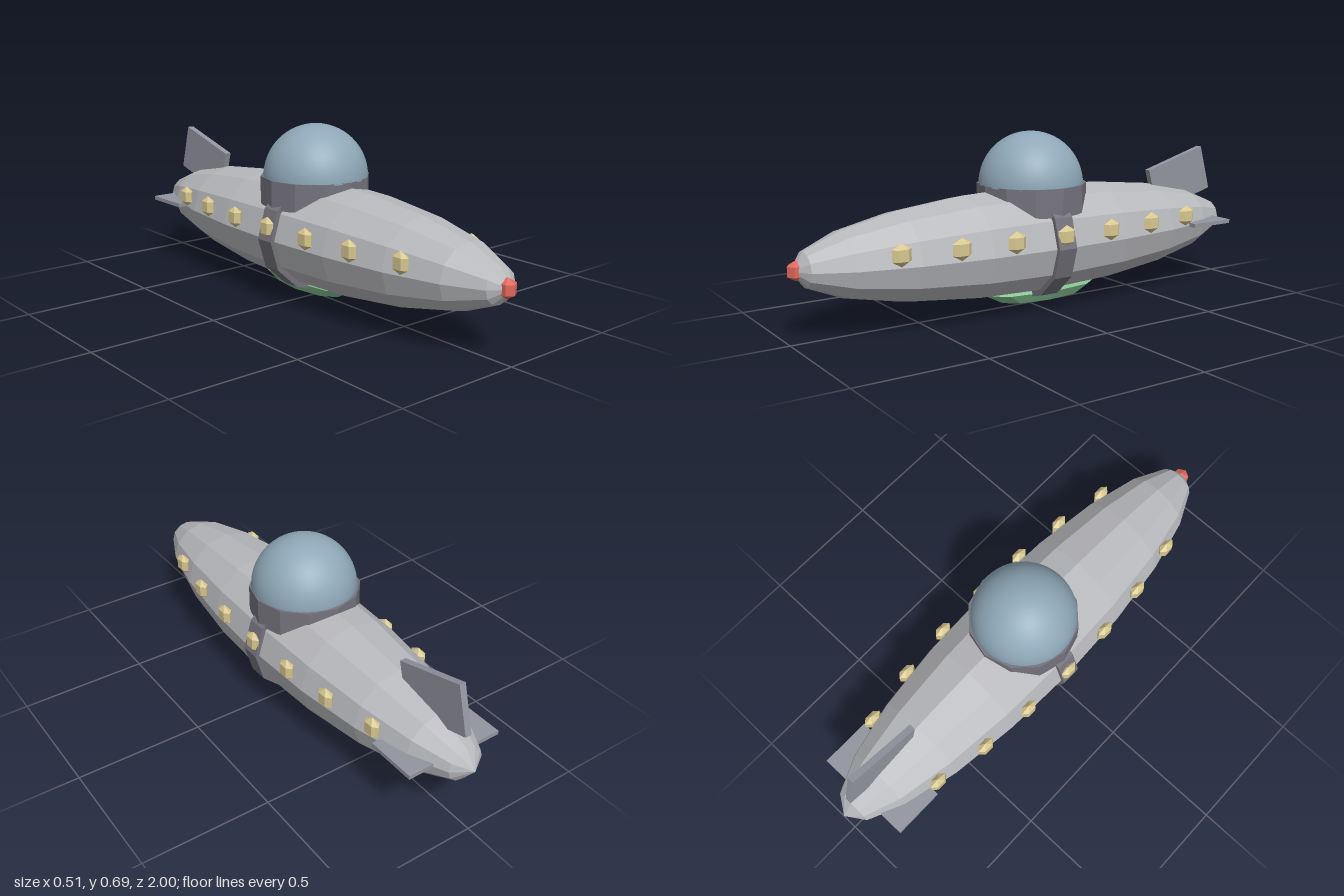
import * as THREE from 'three';

const paint = (color, flatShading = true) =>
  new THREE.MeshStandardMaterial({ color, flatShading });

export function createModel() {
  const model = new THREE.Group();
  const hullMat = paint(0xb8b9bd);
  const trimMat = paint(0x75737d);
  const finMat = paint(0x93959f);
  const lampMat = paint(0xd8c890);

  const add = (name, geometry, material, x, y, z) => {
    const mesh = new THREE.Mesh(geometry, material);
    mesh.name = name;
    mesh.position.set(x, y, z);
    model.add(mesh);
    return mesh;
  };

  const axisY = 0.265;
  const midZ = -0.006;

  // Long faceted hull, poles on the z axis
  const hull = new THREE.SphereGeometry(1, 12, 10).rotateX(Math.PI / 2).scale(0.24, 0.21, 0.994);
  add('hull', hull, hullMat, 0, axisY, midZ);

  // Band around the middle of the hull
  const band = new THREE.CylinderGeometry(1, 1, 0.08, 12).rotateX(Math.PI / 2).scale(0.255, 0.233, 1);
  add('hullBand', band, trimMat, 0, axisY, midZ);

  // Cockpit collar and smooth glass dome
  add('cockpitCollar', new THREE.CylinderGeometry(0.215, 0.215, 0.11, 12), trimMat, 0, 0.435, -0.01);
  const dome = new THREE.SphereGeometry(0.205, 48, 16, 0, Math.PI * 2, 0, Math.PI / 2);
  add('cockpitDome', dome, paint(0x8fa8b8, false), 0, 0.485, -0.006);

  // Belly pod
  const belly = new THREE.SphereGeometry(1, 8, 4).scale(0.085, 0.055, 0.263);
  add('bellyPod', belly, paint(0x86c493), 0, 0.057, -0.06);

  // Six-sided bead with a corner facing front, shared by nose light and side lamps
  const bead = () => new THREE.SphereGeometry(1, 6, 3).rotateY(Math.PI / 2);
  add('noseLight', bead().scale(0.0375, 0.0375, 0.0375), paint(0xe0685c), 0, axisY, 0.967);

  // Side lamps following the curve of the hull
  const lamp = bead().scale(0.024, 0.043, 0.044);
  for (const side of [-1, 1]) {
    for (let i = -3; i <= 3; i++) {
      const z = i * 0.22;
      const x = 0.239 * Math.sqrt(1 - (z / 0.985) ** 2);
      add('sideLamp', lamp, lampMat, side * x, 0.313, z - 0.008);
    }
    // Horizontal tail fins
    add('sideFin', new THREE.BoxGeometry(0.16, 0.016, 0.2), finMat, side * 0.12, 0.268, -0.8);
  }

  // Tilted top fin
  const topFin = add('topFin', new THREE.BoxGeometry(0.026, 0.193, 0.306), finMat, 0, 0.437, -0.778);
  topFin.rotation.x = 0.275;

  return model;
}
